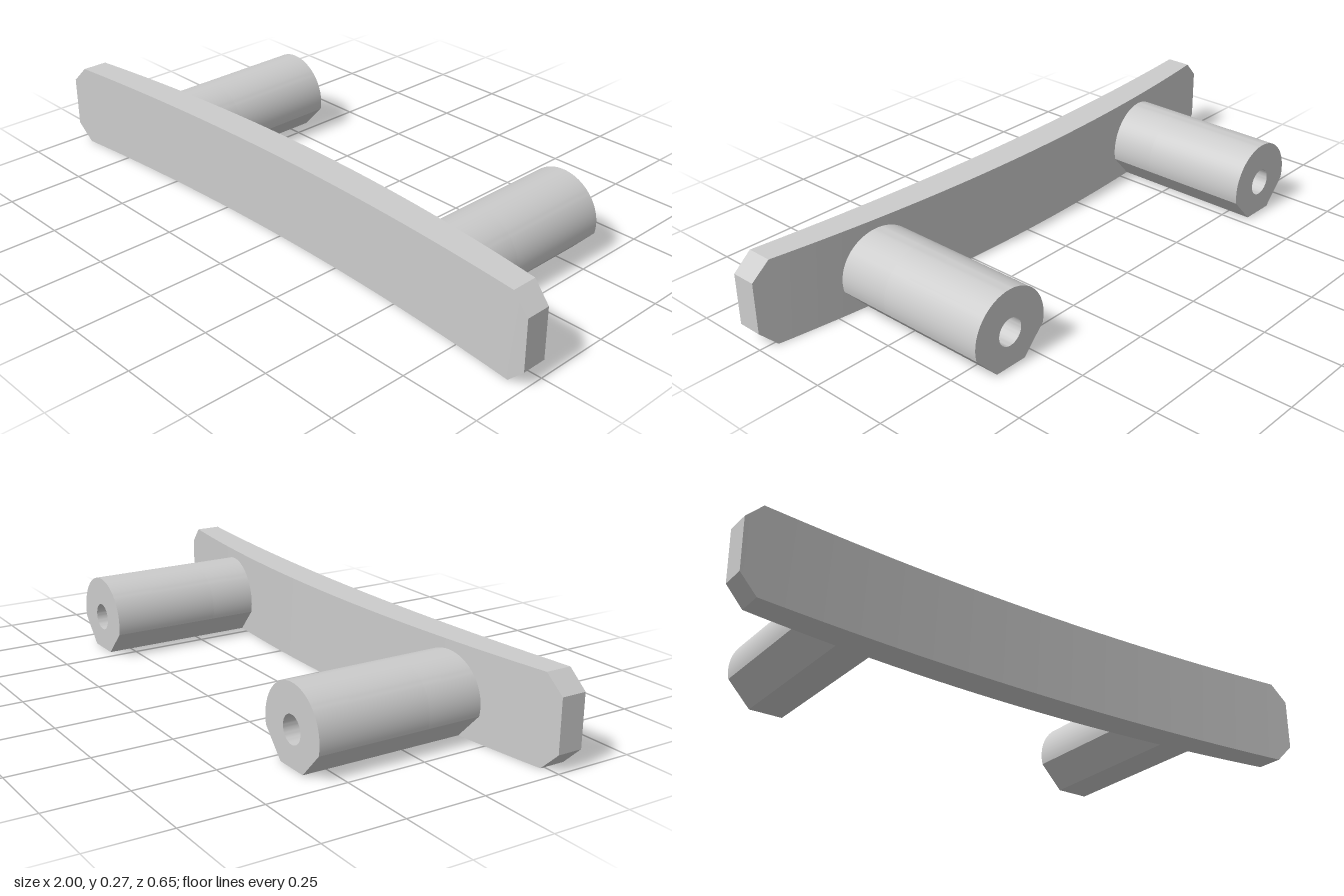
import * as THREE from 'three';
import { toCreasedNormals } from 'three/addons/utils/BufferGeometryUtils.js';

const HEIGHT = 0.272, CHAMFER = 0.055, BACK_Z = -0.325;
const material = new THREE.MeshStandardMaterial({ color: 0xcccccc });

function addMesh(parent, geometry, name) {
  const mesh = new THREE.Mesh(toCreasedNormals(geometry, 0.45), material);
  mesh.name = name;
  parent.add(mesh);
  return mesh;
}

// Bowed bar with clipped corners: a subdivided box bent by rule
function barGeometry() {
  const segments = 34;
  const geometry = new THREE.BoxGeometry(segments, 1, 1, segments, 1, 1);
  const p = geometry.attributes.position;
  const inner = segments / 2 - 1;
  for (let i = 0; i < p.count; i++) {
    const step = p.getX(i);
    const isEnd = Math.abs(step) > inner + 0.5;
    const x = isEnd ? Math.sign(step) : (step / inner) * (1 - CHAMFER);
    const half = HEIGHT / 2 - (isEnd ? CHAMFER : 0);
    const y = HEIGHT / 2 + Math.sign(p.getY(i)) * half;
    const z = p.getZ(i) > 0 ? 0.268 + 0.057 * x * x : 0.164 + 0.081 * x * x;
    p.setXYZ(i, x, y, z);
  }
  return geometry;
}

// Post section: round top, sloped lower sides, flat foot
const POST_Y = 0.11, POST_R = 0.133;
function postSection(holeRadius) {
  const start = Math.asin((0.08 - POST_Y) / POST_R);
  const shape = new THREE.Shape();
  shape.moveTo(-0.055, 0);
  shape.lineTo(0.055, 0);
  shape.lineTo(POST_R * Math.cos(start), 0.08);
  shape.absarc(0, POST_Y, POST_R, start, Math.PI - start, false);
  shape.closePath();
  if (holeRadius) {
    const hole = new THREE.Path();
    hole.absarc(0, POST_Y, holeRadius, 0, Math.PI * 2, true);
    shape.holes.push(hole);
  }
  return shape;
}

function extrude(shape, z0, z1) {
  return new THREE.ExtrudeGeometry(shape, { depth: z1 - z0, bevelEnabled: false, curveSegments: 24 })
    .translate(0, 0, z0);
}

export function createModel() {
  const model = new THREE.Group();
  model.name = 'drawerHandle';
  addMesh(model, barGeometry(), 'gripBar');

  // Two mounting posts, each with a blind screw hole in the back
  const holeEnd = 0.03;
  for (const [side, name] of [[1, 'leftPost'], [-1, 'rightPost']]) {
    const post = new THREE.Group();
    post.name = name;
    post.position.x = side * 0.595;
    addMesh(post, extrude(postSection(0.043), BACK_Z, holeEnd), 'drilledShank');
    addMesh(post, extrude(postSection(0), holeEnd, 0.235), 'solidShank');
    model.add(post);
  }
  return model;
}
